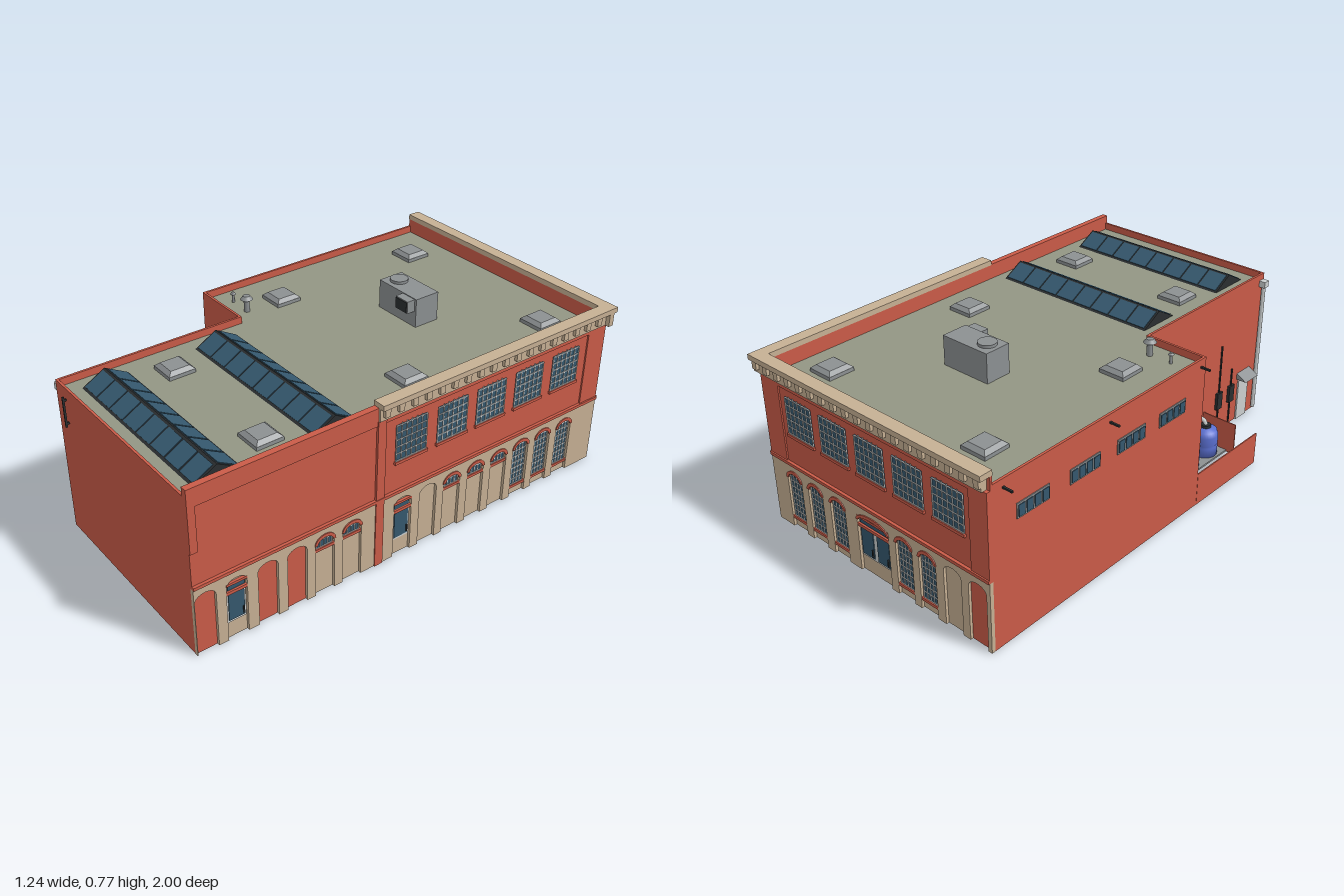
import * as THREE from 'three';

const mat = (name, color, side = THREE.FrontSide) => {
  const m = new THREE.MeshStandardMaterial({ color, side });
  m.name = name;
  return m;
};
const red = mat('red brick', 0xca5b48), tan = mat('tan stone', 0xc6b094);
const olive = mat('olive roof', 0x939684), glass = mat('blue glass', 0x35586e);
const dark = mat('dark metal', 0x2a2e30), grey = mat('grey metal', 0x8c9092);
const white = mat('pale trim', 0xccd0d0), blue = mat('blue tank', 0x5a6fd0);

function add(parent, name, geo, material, x = 0, y = 0, z = 0) {
  const m = new THREE.Mesh(geo, material);
  m.name = name;
  m.position.set(x, y, z);
  parent.add(m);
  return m;
}
// box given by its min and max corners
const box = (p, name, m, x0, x1, y0, y1, z0, z1) =>
  add(p, name, new THREE.BoxGeometry(x1 - x0, y1 - y0, z1 - z0), m, (x0 + x1) / 2, (y0 + y1) / 2, (z0 + z1) / 2);
const cyl = (p, name, m, r0, r1, y0, y1, x, z, n = 20) =>
  add(p, name, new THREE.CylinderGeometry(r1, r0, y1 - y0, n), m, x, (y0 + y1) / 2, z);
const extrude = (s, depth) => new THREE.ExtrudeGeometry(s, { depth, bevelEnabled: false, curveSegments: 10 });
function tube(p, name, m, r, pts) {
  const path = new THREE.CurvePath();
  const v = pts.map(a => new THREE.Vector3(...a));
  for (let i = 1; i < v.length; i++) path.add(new THREE.LineCurve3(v[i - 1], v[i]));
  return add(p, name, new THREE.TubeGeometry(path, 12 * (v.length - 1), r, 8), m);
}

const SPRING = 0.235, RISE = 0.03, HALF = 0.0425;
// panel with straight sides and an arched head
function archPanel(u, half, y0, spring = SPRING, rise = RISE) {
  const s = new THREE.Shape();
  s.moveTo(u + half, y0);
  s.lineTo(u + half, spring);
  s.absellipse(u, spring, half, rise, 0, Math.PI, false);
  s.lineTo(u - half, y0);
  s.closePath();
  return s;
}
function archBand(p, u, half) {
  const s = new THREE.Shape();
  s.absellipse(u, SPRING - 0.004, half + 0.004, RISE + 0.008, 0, Math.PI, false);
  s.lineTo(u - half + 0.008, SPRING - 0.004);
  s.absellipse(u, SPRING - 0.004, half - 0.008, RISE - 0.006, Math.PI, 0, true);
  s.closePath();
  add(p, 'archTrim', extrude(s, 0.006), red, 0, 0, 0.014);
}
// pale glazing bars dividing a window
function bars(p, u, half, y0, y1, cols, rows, w) {
  for (let i = 0; i <= cols; i++) {
    const x = u - half + 2 * half * i / cols, inner = i > 0 && i < cols;
    box(p, 'glazingBar', white, x - 0.002, x + 0.002, y0, inner ? y1 + 0.01 : y1, w, w + 0.003);
  }
  for (let j = 0; j <= rows; j++) {
    const y = y0 + (y1 - y0) * j / rows;
    box(p, 'glazingBar', white, u - half, u + half, y - 0.002, y + 0.002, w, w + 0.003);
  }
}
// one ground floor bay set back between the stone piers
function bay(p, { u, kind, half = HALF }) {
  const g = new THREE.Group();
  g.name = kind + 'Bay';
  p.add(g);
  add(g, 'infill', extrude(archPanel(u, half, 0), 0.004), kind === 'red' ? red : tan);
  if (kind === 'red' || kind === 'blank') return;
  const y0 = { small: 0.21, tall: 0.05, door: 0.08 }[kind];
  if (kind === 'door') {
    box(g, 'frame', white, u - half + 0.003, u + half - 0.003, 0.07, 0.245, 0.004, 0.007);
    const leaves = half > 0.06 ? [-half / 2, half / 2] : [0];
    const lw = half / leaves.length - 0.01;
    for (const d of leaves) {
      box(g, 'doorLeaf', glass, u + d - lw, u + d + lw, y0, 0.195, 0.007, 0.01);
      box(g, 'handle', dark, u + d + lw - 0.008, u + d + lw - 0.003, 0.09, 0.12, 0.01, 0.015);
    }
    box(g, 'lintel', red, u - half, u + half, 0.2, 0.213, 0.006, 0.015);
    box(g, 'transom', glass, u - half + 0.008, u + half - 0.008, 0.217, 0.237, 0.007, 0.01);
    box(g, 'doorHead', red, u - half, u + half, 0.24, 0.25, 0.006, 0.017);
    if (half > 0.06) archBand(g, u, half);
    return;
  }
  add(g, 'windowGlass', extrude(archPanel(u, half - 0.006, y0, SPRING, RISE - 0.006), 0.003), glass, 0, 0, 0.004);
  bars(g, u, half - 0.008, y0, 0.242, 4, kind === 'tall' ? 7 : 1, 0.007);
  box(g, 'sill', red, u - half, u + half, y0 - 0.012, y0, 0.004, 0.015);
  archBand(g, u, half);
}
// decorated front: u runs along the wall, z points out of it
function facade(p, name, u0, u1, bays, windows) {
  const f = new THREE.Group();
  f.name = name;
  p.add(f);
  const s = new THREE.Shape();
  s.moveTo(u0, 0);
  for (const { u, half = HALF } of bays) {
    s.lineTo(u - half, 0);
    s.lineTo(u - half, SPRING);
    s.absellipse(u, SPRING, half, RISE, Math.PI, 0, true);
    s.lineTo(u + half, 0);
  }
  s.lineTo(u1, 0);
  s.lineTo(u1, 0.295);
  s.lineTo(u0, 0.295);
  s.closePath();
  add(f, 'stonePiers', extrude(s, 0.016), tan);
  bays.forEach(b => bay(f, b));
  box(f, 'stringCourse', red, u0, u1, 0.295, 0.308, 0, 0.022);
  box(f, 'upperWall', red, u0, u1, 0.308, 0.65, 0, 0.01);
  for (const u of windows) {
    box(f, 'upperGlass', glass, u - 0.073, u + 0.073, 0.44, 0.595, 0.01, 0.013);
    bars(f, u, 0.072, 0.442, 0.593, 6, 5, 0.013);
    box(f, 'upperSill', red, u - 0.078, u + 0.078, 0.428, 0.44, 0.01, 0.02);
  }
  return f;
}
function cornice(f, u0, u1) {
  box(f, 'corniceBand', tan, u0, u1 - 0.015, 0.65, 0.705, 0, 0.024);
  box(f, 'corniceCap', tan, u0, u1, 0.703, 0.725, -0.012, 0.042);
  const n = Math.round((u1 - u0) / 0.062);
  for (let i = 0; i < n; i++) {
    const u = u0 + 0.025 + (u1 - u0 - 0.05) * i / (n - 1);
    box(f, 'bracket', tan, u - 0.012, u + 0.012, 0.668, 0.703, 0.024, 0.037);
  }
}
function skylight(p, x0, x1, zc) {
  const g = new THREE.Group();
  g.name = 'skylight';
  p.add(g);
  const h = 0.053, d = 0.095, a = Math.atan2(h, d), L = Math.hypot(h, d), n = 8;
  const tri = new THREE.Shape([new THREE.Vector2(-d, 0), new THREE.Vector2(d, 0), new THREE.Vector2(0, h)]);
  add(g, 'skylightFrame', extrude(tri, x1 - x0), dark, x0, 0.64, zc).rotation.y = Math.PI / 2;
  const w = (x1 - x0 - 0.01) / n;
  for (const s of [-1, 1]) for (let i = 0; i < n; i++) {
    const pane = add(g, 'pane', new THREE.BoxGeometry(w - 0.007, 0.004, L - 0.02), glass,
      x0 + 0.005 + w * (i + 0.5), 0.64 + h / 2 + 0.001, zc + s * d / 2);
    pane.rotation.x = s * a;
  }
}

export function createModel() {
  const model = new THREE.Group();
  model.name = 'brickBuilding';

  // hollow shell, open below
  box(model, 'rightWall', red, 0.565, 0.575, 0, 0.705, -0.962, 0.98);
  box(model, 'backWall', red, -0.58, 0.575, 0, 0.705, -0.962, -0.952);
  box(model, 'leftWall', red, -0.58, -0.57, 0, 0.67, -0.962, 0.18);
  box(model, 'notchWall', red, -0.58, -0.315, 0, 0.67, 0.17, 0.18);
  box(model, 'notchSideWall', red, -0.315, -0.305, 0, 0.67, 0.17, 0.98);
  box(model, 'frontWall', red, -0.315, 0.575, 0, 0.67, 0.97, 0.98);
  box(model, 'rearRoof', olive, -0.572, 0.568, 0.634, 0.64, -0.955, 0.175);
  box(model, 'frontRoof', olive, -0.31, 0.568, 0.634, 0.64, 0.175, 0.975);

  // right facade, u = -z
  const kinds = [[-0.935, 'red'], [-0.81, 'door'], [-0.68, 'red'], [-0.555, 'red'], [-0.433, 'small'], [-0.31, 'small'],
    [-0.07, 'door'], [0.055, 'blank'], [0.177, 'small'], [0.302, 'small'], [0.427, 'small'],
    [0.55, 'tall'], [0.673, 'tall'], [0.797, 'tall']];
  const right = facade(model, 'rightFacade', -0.98, 0.978, kinds.map(([u, kind]) => ({ u, kind })),
    [-0.04, 0.16, 0.357, 0.558, 0.76]);
  right.rotation.y = Math.PI / 2;
  right.position.x = 0.575;
  box(right, 'redPilaster', red, -0.203, -0.165, 0, 0.65, 0, 0.02);
  box(right, 'cornerPilaster', red, 0.88, 0.978, 0.308, 0.65, 0, 0.016);
  box(right, 'headBand', red, -0.165, 0.88, 0.63, 0.65, 0, 0.016);
  box(right, 'frontHeadBand', red, -0.98, -0.2, 0.63, 0.705, 0, 0.016);
  box(right, 'frontCornerStrip', red, -0.98, -0.95, 0.445, 0.63, 0, 0.016);
  cornice(right, -0.2, 1.0);

  // back facade, u = -x
  const backKinds = [[-0.46, 'tall'], [-0.335, 'tall'], [-0.205, 'tall'], [-0.01, 'door', 0.085], [0.155, 'tall'],
    [0.275, 'tall'], [0.4, 'blank'], [0.52, 'red']];
  const back = facade(model, 'backFacade', -0.591, 0.58, backKinds.map(([u, kind, half]) => ({ u, kind, half })),
    [-0.385, -0.19, 0.005, 0.2, 0.395]);
  back.rotation.y = Math.PI;
  back.position.z = -0.962;
  box(back, 'cornerPilaster', red, -0.591, -0.49, 0.308, 0.65, 0, 0.016);
  box(back, 'cornerPilaster', red, 0.495, 0.58, 0.308, 0.65, 0, 0.016);
  box(back, 'headBand', red, -0.49, 0.495, 0.63, 0.65, 0, 0.016);
  cornice(back, -0.617, 0.58);

  // left wall: high windows and short spouts
  for (const z of [-0.77, -0.51, -0.26, -0.02]) {
    box(model, 'highWindowFrame', grey, -0.584, -0.567, 0.485, 0.545, z - 0.078, z + 0.078);
    for (let i = 0; i < 4; i++) {
      const c = z - 0.057 + i * 0.038;
      box(model, 'highWindowPane', glass, -0.587, -0.564, 0.492, 0.538, c - 0.015, c + 0.015);
    }
  }
  for (const z of [-0.905, -0.38, 0.15]) box(model, 'spout', dark, -0.622, -0.58, 0.634, 0.641, z - 0.004, z + 0.004);

  // roof equipment
  skylight(model, -0.24, 0.52, 0.335);
  skylight(model, -0.245, 0.515, 0.815);
  for (const [x, z] of [[-0.38, -0.785], [0.415, -0.785], [-0.38, -0.078], [0.415, -0.078], [-0.15, 0.575], [0.415, 0.575]]) {
    box(model, 'roofHatch', grey, x - 0.057, x + 0.057, 0.64, 0.655, z - 0.057, z + 0.057);
    const top = new THREE.CylinderGeometry(0.057, 0.08, 0.014, 4, 1).rotateY(Math.PI / 4).toNonIndexed();
    top.computeVertexNormals();
    add(model, 'hatchTop', top, grey, x, 0.662, z);
  }
  box(model, 'airUnit', grey, -0.083, 0.142, 0.64, 0.763, -0.475, -0.36);
  cyl(model, 'airUnitFan', grey, 0.037, 0.037, 0.763, 0.775, -0.03, -0.417);
  box(model, 'airUnitDuct', grey, 0.06, 0.132, 0.708, 0.76, -0.36, -0.323);
  box(model, 'airUnitGrille', dark, 0.064, 0.128, 0.712, 0.756, -0.323, -0.32);
  cyl(model, 'ventPipe', grey, 0.012, 0.012, 0.64, 0.695, -0.38, 0.095);
  cyl(model, 'ventCap', grey, 0.026, 0.014, 0.695, 0.71, -0.38, 0.095);
  cyl(model, 'smallVentPipe', grey, 0.006, 0.006, 0.64, 0.677, -0.48, 0.095);
  cyl(model, 'smallVentCap', grey, 0.012, 0.006, 0.677, 0.685, -0.48, 0.095);

  // yard: low walls, floor slab and tanks
  box(model, 'lowWall', red, -0.581, -0.576, 0, 0.145, 0.18, 0.595);
  box(model, 'lowEndWall', red, -0.48, -0.315, 0, 0.145, 0.588, 0.593);
  box(model, 'yardSlab', grey, -0.443, -0.315, 0, 0.008, 0.18, 0.588);
  cyl(model, 'greyTank', grey, 0.037, 0.037, 0.008, 0.355, -0.385, 0.225, 28);
  tube(model, 'tankPipe', dark, 0.004, [[-0.385, 0.38, 0.27], [-0.385, 0.165, 0.27], [-0.32, 0.165, 0.27]]);
  for (const z of [0.385, 0.515]) {
    const pts = [[0, 0.008], [0.055, 0.008], [0.055, 0.05], [0.051, 0.055], [0.055, 0.06], [0.055, 0.1], [0.048, 0.122], [0.022, 0.134], [0, 0.136]];
    add(model, 'blueTank', new THREE.LatheGeometry(pts.map(a => new THREE.Vector2(...a)), 28), blue, -0.38, 0, z);
    cyl(model, 'tankNeck', dark, 0.022, 0.02, 0.134, 0.145, -0.38, z);
    tube(model, 'tankOutlet', white, 0.009, [[-0.38, 0.14, z], [-0.375, 0.155, z], [-0.362, 0.163, z], [-0.335, 0.163, z], [-0.328, 0.155, z], [-0.328, 0.02, z]]);
  }

  // notch side wall: door, canopy, meters and downpipe
  box(model, 'sideDoor', white, -0.322, -0.301, 0, 0.195, 0.84, 0.915);
  const hood = new THREE.Shape([[0, 0], [0.05, 0], [0, 0.028]].map(a => new THREE.Vector2(...a)));
  add(model, 'doorCanopy', extrude(hood, 0.095), grey, -0.315, 0.207, 0.925).rotation.y = Math.PI;
  for (const z of [0.69, 0.78]) {
    box(model, 'meterBox', dark, -0.328, -0.315, 0.12, 0.2, z - 0.018, z + 0.018);
    cyl(model, 'conduit', dark, 0.004, 0.004, 0, z < 0.7 ? 0.425 : 0.28, -0.32, z, 8);
  }
  cyl(model, 'downpipe', white, 0.009, 0.009, 0.02, 0.62, -0.33, 0.96, 12);
  box(model, 'rainHopper', white, -0.344, -0.316, 0.615, 0.643, 0.945, 0.975);

  // slim bracket on the plain front
  box(model, 'frontBracket', dark, -0.243, -0.237, 0.505, 0.635, 0.988, 0.996);
  for (const y of [0.52, 0.62]) box(model, 'bracketArm', dark, -0.243, -0.237, y - 0.004, y + 0.004, 0.98, 0.99);
  return model;
}
